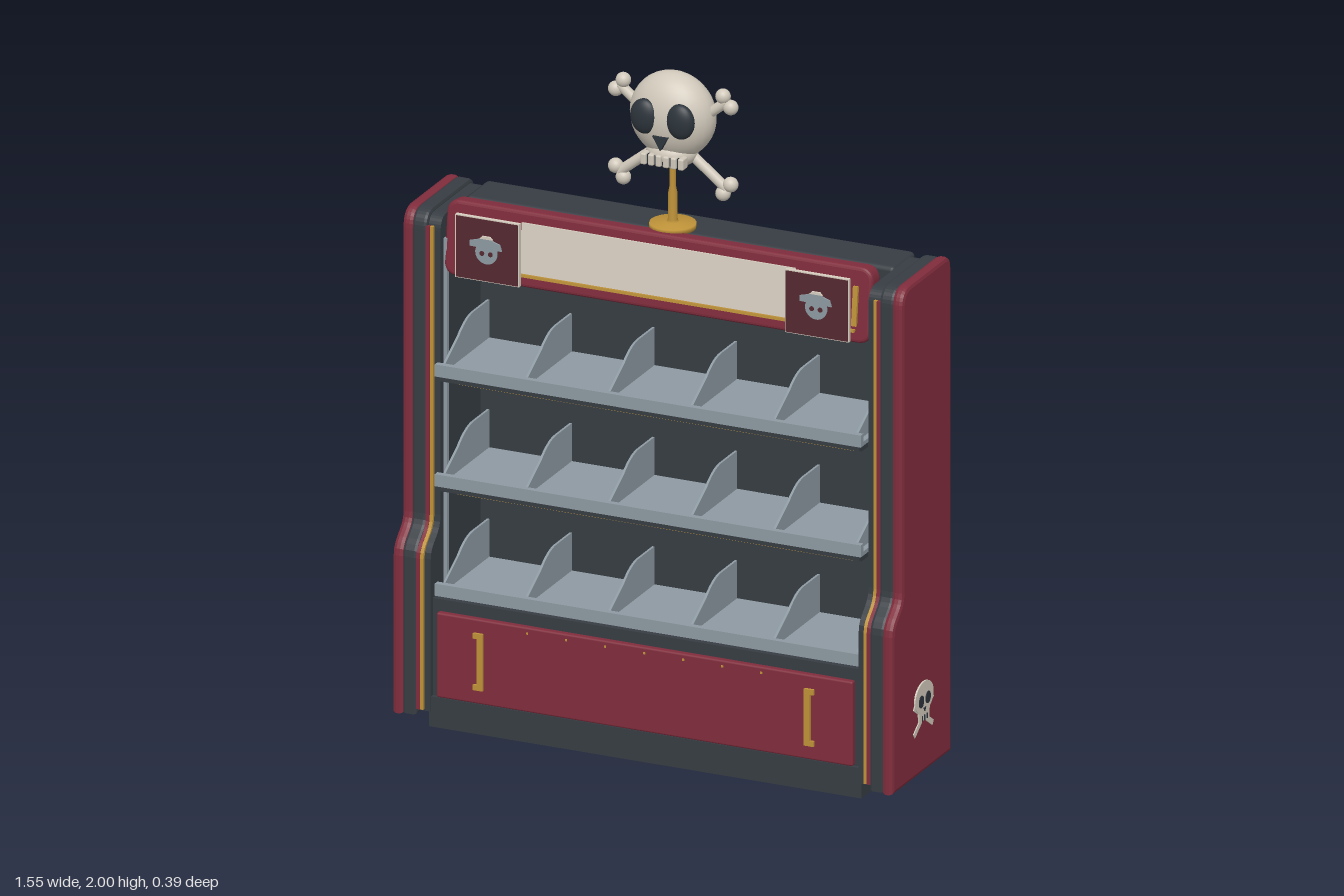
import * as THREE from 'three';
import { RoundedBoxGeometry } from 'three/addons/geometries/RoundedBoxGeometry.js';

const mat = (name, color, side = THREE.FrontSide) => {
  const m = new THREE.MeshStandardMaterial({ color, side });
  m.name = name;
  return m;
};

export function createModel() {
  const root = new THREE.Group();
  root.name = 'displayCabinet';
  const red = mat('crimson', 0x802c3c), dark = mat('charcoal', 0x363c42), grey = mat('shelfGrey', 0x8d99a1);
  const cream = mat('signCream', 0xd6cdbf), gold = mat('gold', 0xbd9138), maroon = mat('maroon', 0x54282f);
  const bone = mat('bone', 0xd0c8ba), black = mat('socketBlack', 0x2c343b);

  const add = (name, geo, m, parent = root) => {
    const mesh = new THREE.Mesh(geo, m);
    mesh.name = name;
    parent.add(mesh);
    return mesh;
  };
  const box = (name, m, x0, x1, y0, y1, z0, z1, parent = root, r = 0) => {
    const d = [Math.abs(x1 - x0), y1 - y0, z1 - z0];
    const geo = r ? new RoundedBoxGeometry(...d, 2, r) : new THREE.BoxGeometry(...d);
    const mesh = add(name, geo, m, parent);
    mesh.position.set((x0 + x1) / 2, (y0 + y1) / 2, (z0 + z1) / 2);
    return mesh;
  };
  const plate = (name, shape, m, z, depth, parent) => {
    const mesh = add(name, new THREE.ExtrudeGeometry(shape, { depth, bevelEnabled: false, curveSegments: 16 }), m, parent);
    mesh.position.z = z;
    return mesh;
  };
  const oval = (x, y, rx, ry) => new THREE.Shape().absellipse(x, y, rx, ry, 0, Math.PI * 2);
  const poly = pts => new THREE.Shape(pts.map(p => new THREE.Vector2(...p)));

  // Side outline in (z, y): upright upper part, S-curve, deeper foot
  const sideShape = i => {
    const s = new THREE.Shape(), b = -0.195 + i, t = 1.515 - i, u = 0.13 - i, f = 0.195 - i, y = 0.03 + i;
    s.moveTo(b, y).lineTo(f, y).lineTo(f, 0.5);
    s.bezierCurveTo(f, 0.55, u, 0.55, u, 0.61);
    s.lineTo(u, t - 0.045).quadraticCurveTo(u, t, u - 0.045, t);
    s.lineTo(b + 0.03, t).quadraticCurveTo(b, t, b, t - 0.03);
    return s;
  };
  // Narrow strip that follows the front edge
  const trimShape = d => {
    const s = new THREE.Shape(), u = 0.13 + d, f = 0.195 + d;
    s.moveTo(f - 0.03, 0.05).lineTo(f, 0.05).lineTo(f, 0.5);
    s.bezierCurveTo(f, 0.55, u, 0.55, u, 0.61);
    s.lineTo(u, 1.47).lineTo(u - 0.03, 1.47).lineTo(u - 0.03, 0.6);
    s.bezierCurveTo(u - 0.03, 0.55, f - 0.03, 0.55, f - 0.03, 0.5);
    return s;
  };
  const upright = (name, shape, m, x0, x1, side, bevel = 0) => {
    const depth = x1 - x0 - 2 * bevel;
    const geo = new THREE.ExtrudeGeometry(shape, {
      depth, curveSegments: 8, bevelEnabled: bevel > 0, bevelSize: bevel, bevelThickness: bevel, bevelSegments: 2
    });
    geo.translate(0, 0, -depth / 2).rotateY(-Math.PI / 2);
    add(name, geo, m).position.x = side * (x0 + x1) / 2;
  };

  // Flat skull and crossbones emblem, facing +z
  const skullEmblem = () => {
    const g = new THREE.Group();
    g.name = 'sideEmblem';
    for (const s of [-1, 1]) {
      const b = plate('emblemBone', poly([[-0.075, -0.008], [0.075, -0.008], [0.075, 0.008], [-0.075, 0.008]]), bone, 0, 0.004, g);
      b.position.y = -0.045;
      b.rotation.z = s * 0.6;
      plate('emblemEye', oval(s * 0.022, 0.003, 0.016, 0.018), black, 0.006, 0.002, g);
    }
    plate('emblemHead', oval(0, 0.01, 0.06, 0.047), bone, 0, 0.006, g);
    plate('emblemJaw', poly([[-0.032, -0.058], [0.032, -0.058], [0.036, -0.02], [-0.036, -0.02]]), bone, 0, 0.006, g);
    plate('emblemNose', poly([[-0.008, -0.02], [0, -0.032], [0.008, -0.02]]), black, 0.006, 0.002, g);
    for (const x of [-0.016, 0, 0.016]) box('emblemToothGap', black, x - 0.002, x + 0.002, -0.058, -0.042, 0.005, 0.008, g);
    return g;
  };

  // Sides: red outer cheek, dark column, red and gold front trim, emblem
  for (const s of [-1, 1]) {
    upright('sidePanel', sideShape(0.012), red, 0.735, 0.77, s, 0.012);
    upright('sideColumn', sideShape(0.013), dark, 0.695, 0.742, s, 0.01);
    upright('innerColumn', sideShape(0.015), dark, 0.658, 0.71, s);
    upright('redTrim', trimShape(-0.005), red, 0.687, 0.699, s);
    upright('goldTrim', trimShape(-0.006), gold, 0.677, 0.687, s);
    box('shelfRail', grey, s * 0.648, s * 0.66, 0.38, 1.43, 0.08, 0.095);
    const e = skullEmblem();
    e.position.set(s * 0.769, 0.248, -0.003);
    e.rotation.y = s * Math.PI / 2;
    root.add(e);
  }

  // Carcass
  box('plinth', dark, -0.665, 0.665, 0, 0.09, -0.185, 0.178);
  box('baseCabinet', dark, -0.66, 0.66, 0.09, 0.38, -0.183, 0.166);
  box('backPanel', dark, -0.66, 0.66, 0.215, 1.47, -0.187, -0.15);
  box('lowerBackPanel', dark, -0.66, 0.66, 0.09, 0.21, -0.187, -0.15);
  box('topCap', dark, -0.66, 0.66, 1.44, 1.505, -0.195, -0.05, root, 0.014);

  // Drawer with bracket handles
  box('drawerFront', red, -0.64, 0.64, 0.092, 0.345, 0.15, 0.183, root, 0.006);
  for (const s of [-1, 1]) {
    box('handleBar', gold, s * 0.494, s * 0.512, 0.135, 0.305, 0.183, 0.191);
    for (const y of [0.135, 0.289]) box('handleEnd', gold, s * 0.494, s * 0.524, y, y + 0.016, 0.183, 0.191);
  }
  for (let i = -3; i <= 3; i++) box('drawerStud', gold, i * 0.12 - 0.003, i * 0.12 + 0.003, 0.325, 0.331, 0.18, 0.185);

  // Three shelves with lips and sloping dividers
  const divider = new THREE.Shape();
  divider.moveTo(-0.15, 0).lineTo(0.14, 0).lineTo(0.14, 0.035).lineTo(0.05, 0.085);
  divider.quadraticCurveTo(0.0, 0.125, -0.05, 0.125).lineTo(-0.15, 0.125);
  const divGeo = new THREE.ExtrudeGeometry(divider, { depth: 0.007, bevelEnabled: false });
  divGeo.translate(0, 0, -0.0035).rotateY(-Math.PI / 2);
  for (const y of [0.385, 0.712, 1.04]) {
    box('shelf', grey, -0.655, 0.655, y, y + 0.012, -0.15, 0.15);
    box('shelfLip', grey, -0.655, 0.655, y, y + 0.036, 0.142, 0.16);
    box('lipFoot', dark, -0.645, 0.645, y - 0.018, y, 0.125, 0.146);
    if (y > 0.5) box('lightStrip', gold, -0.61, 0.61, y - 0.034, y - 0.027, 0.1, 0.11);
    if (y > 0.5) box('lightHousing', dark, -0.64, 0.64, y - 0.027, y, 0.08, 0.125);
    for (let i = 0; i < 6; i++) add('divider', divGeo, grey).position.set(-0.635 + i * 0.254, y, 0);
  }

  // Tilted header board with framed sign
  const header = new THREE.Group();
  header.name = 'header';
  header.position.set(0, 1.43, 0.047);
  header.rotation.x = -0.11;
  root.add(header);
  const W = 0.645, H = 0.1, R = 0.03, hs = new THREE.Shape();
  hs.moveTo(-W + R, -H).lineTo(W - R, -H).quadraticCurveTo(W, -H, W, -H + R).lineTo(W, H - R);
  hs.quadraticCurveTo(W, H, W - R, H).lineTo(-W + R, H).quadraticCurveTo(-W, H, -W, H - R);
  hs.lineTo(-W, -H + R).quadraticCurveTo(-W, -H, -W + R, -H);
  add('headerBoard', new THREE.ExtrudeGeometry(hs, { depth: 0.035, bevelSize: 0.01, bevelThickness: 0.01, bevelSegments: 3 }), red, header);
  box('signLowerTrim', gold, -0.61, 0.61, -0.078, -0.07, 0.044, 0.056, header);
  box('signPanel', cream, -0.42, 0.42, -0.068, 0.078, 0.044, 0.053, header);
  for (const s of [-1, 1]) box('signEndTrim', gold, s * 0.6, s * 0.615, -0.06, 0.055, 0.04, 0.054, header);

  // Square badge plates at both ends of the sign
  for (const s of [-1, 1]) {
    const g = new THREE.Group();
    g.name = 'badge';
    g.position.set(s * 0.507, 1.43, 0.12);
    root.add(g);
    box('badgeBacking', cream, -0.098, 0.098, -0.094, 0.094, 0, 0.012, g);
    box('badgeFace', maroon, -0.095, 0.095, -0.091, 0.091, 0.012, 0.015, g);
    plate('badgeHead', oval(0, -0.005, 0.034, 0.034), grey, 0.015, 0.003, g);
    plate('badgeHat', poly([[-0.05, 0.01], [0.048, 0.006], [0.042, 0.025], [0.026, 0.03], [0, 0.042], [-0.028, 0.032], [-0.05, 0.026]]), grey, 0.015, 0.005, g);
    plate('badgeHatBand', poly([[-0.02, 0.036], [0.02, 0.036], [0.012, 0.044], [-0.012, 0.044]]), cream, 0.015, 0.006, g);
    for (const e of [-1, 1]) plate('badgeEye', oval(e * 0.013, -0.008, 0.007, 0.007), maroon, 0.018, 0.002, g);
  }

  // Gold stand for the topper
  const lathe = [[0, 1.535], [0.066, 1.535], [0.066, 1.55], [0.018, 1.553], [0.014, 1.56], [0.013, 1.64], [0.009, 1.66], [0.009, 1.74]];
  add('topperStand', new THREE.LatheGeometry(lathe.map(p => new THREE.Vector2(...p)), 24), gold).position.z = -0.005;

  // Skull topper
  const skull = new THREE.Group();
  skull.name = 'skullTopper';
  skull.position.z = -0.008;
  root.add(skull);
  const ball = (name, m, x, y, z, rx, ry, rz) => {
    const b = add(name, new THREE.SphereGeometry(1, 28, 20), m, skull);
    b.position.set(x, y, z);
    b.scale.set(rx, ry, rz);
    return b;
  };
  ball('cranium', bone, 0, 1.872, 0, 0.128, 0.128, 0.086);
  ball('jaw', bone, 0, 1.765, 0.005, 0.075, 0.046, 0.066);
  for (const s of [-1, 1]) ball('eyeSocket', black, s * 0.055, 1.882, 0.071, 0.043, 0.052, 0.024);
  const nose = plate('nose', poly([[-0.024, 1.833], [0, 1.792], [0.024, 1.833]]), black, 0.07, 0.02, skull);
  nose.position.z = 0.068;
  box('mouthLine', black, -0.065, 0.065, 1.742, 1.768, 0.045, 0.068, skull);
  for (let i = 0; i < 6; i++) {
    const x = -0.0575 + i * 0.023;
    box('tooth', bone, x - 0.009, x + 0.009, 1.738, 1.772, 0.045, 0.078, skull, 0.005);
  }
  // Crossed bones with paired knobs
  for (const s of [-1, 1]) {
    const a = new THREE.Vector3(-s * 0.165, 1.675, 0), b = new THREE.Vector3(s * 0.165, 1.935, 0);
    const dir = b.clone().sub(a);
    const shaft = add('crossbone', new THREE.CylinderGeometry(0.015, 0.015, dir.length(), 16), bone, skull);
    shaft.position.copy(a).add(b).multiplyScalar(0.5);
    shaft.quaternion.setFromUnitVectors(new THREE.Vector3(0, 1, 0), dir.clone().normalize());
    const n = new THREE.Vector3(-dir.y, dir.x, 0).normalize().multiplyScalar(0.019);
    for (const p of [a, b]) for (const k of [-1, 1])
      ball('boneKnob', bone, p.x + n.x * k, p.y + n.y * k, 0, 0.022, 0.022, 0.021);
  }
  return root;
}
